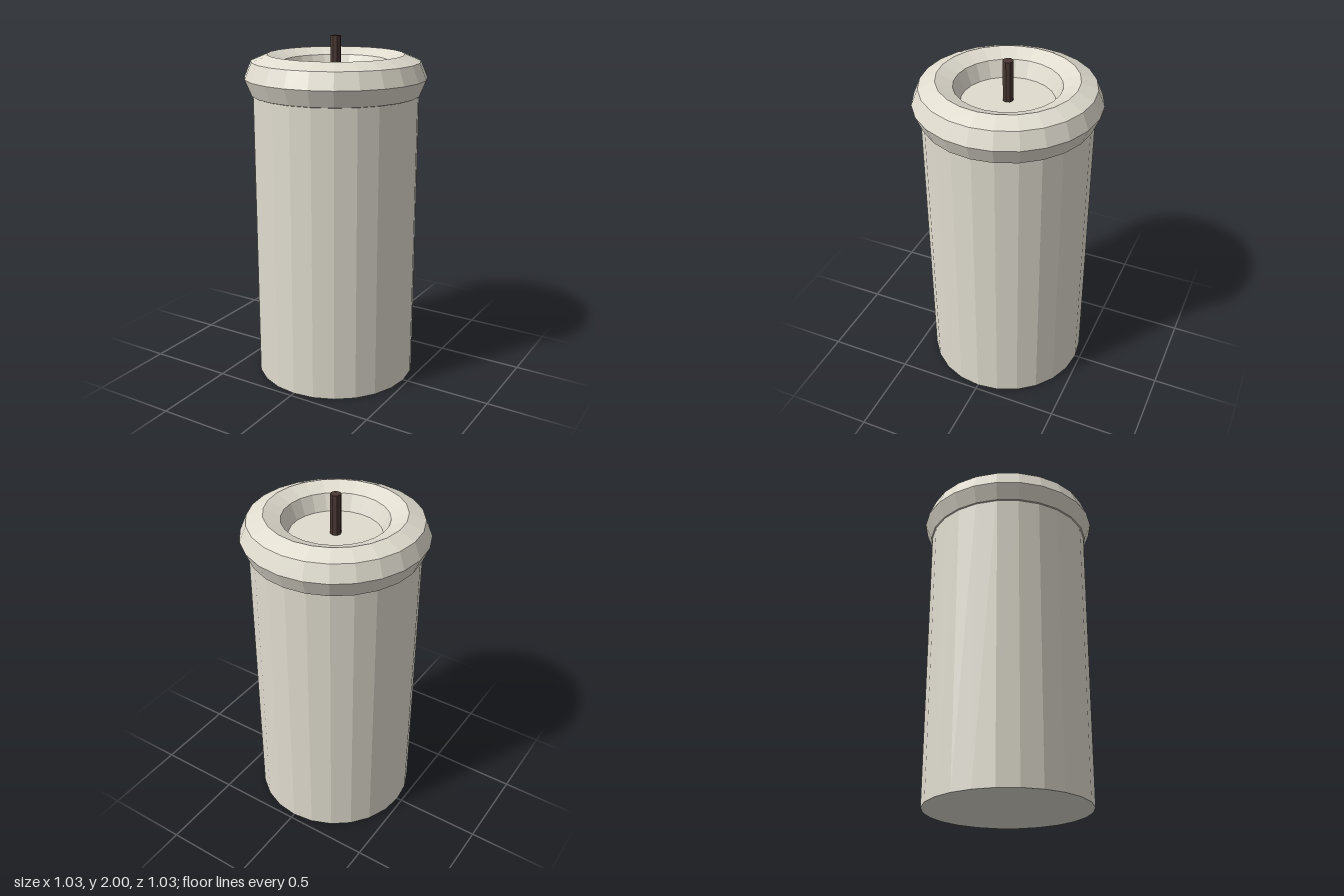
import * as THREE from 'three';

export function createModel() {
  const group = new THREE.Group();
  const wax = new THREE.MeshStandardMaterial({ color: 0xe0dccf, flatShading: true });
  wax.name = 'cream wax';
  const charred = new THREE.MeshStandardMaterial({ color: 0x4a3833, flatShading: true });
  charred.name = 'charred brown';

  const SIDES = 24;
  const BODY_TOP = 1.77;

  const add = (name, geometry, material, y) => {
    const mesh = new THREE.Mesh(geometry, material);
    mesh.name = name;
    mesh.position.y = y;
    group.add(mesh);
    return mesh;
  };

  // Main pillar; its top cap is the floor of the hollow inside the rim
  add('candleBody', new THREE.CylinderGeometry(0.47, 0.47, BODY_TOP, SIDES), wax, BODY_TOP / 2);

  // Rounded melted rim, half sunk into the top of the pillar
  const rim = new THREE.TorusGeometry(0.385, 0.13, 8, SIDES).rotateX(-Math.PI / 2);
  add('meltedRim', rim, wax, BODY_TOP);

  // Wick standing in the hollow
  const wickBase = BODY_TOP - 0.03;
  const wickHeight = 2 - wickBase;
  add('wick', new THREE.CylinderGeometry(0.03, 0.03, wickHeight, 8), charred, wickBase + wickHeight / 2);

  return group;
}
